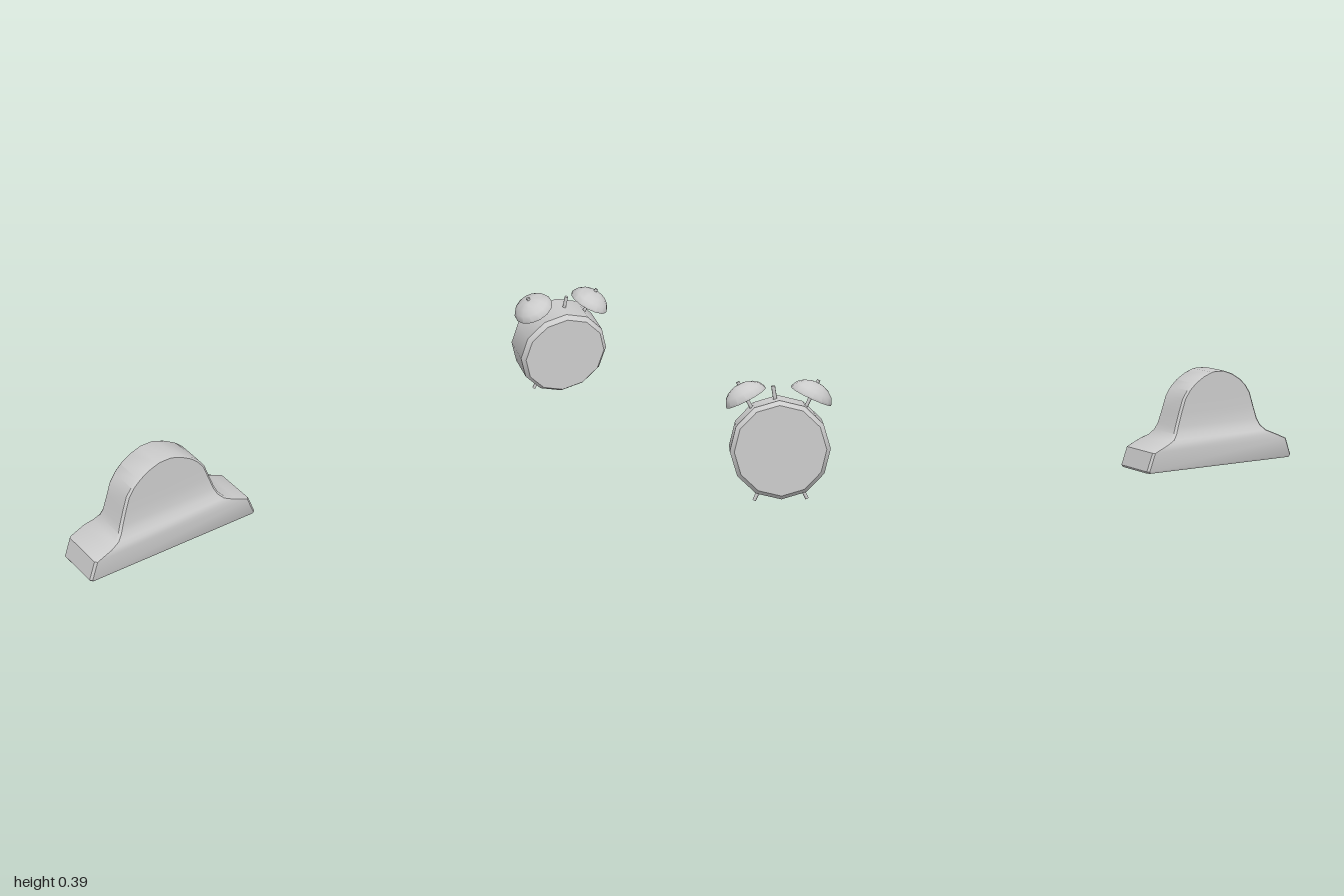
import * as THREE from 'three';
import { toCreasedNormals } from 'three/addons/utils/BufferGeometryUtils.js';

const grey = new THREE.MeshStandardMaterial({ color: 0xcccccc });
const greyThin = new THREE.MeshStandardMaterial({ color: 0xcccccc, side: THREE.DoubleSide });
const CREASE = 0.62;

function addMesh(parent, name, geometry, material = grey) {
  const mesh = new THREE.Mesh(geometry, material);
  mesh.name = name;
  parent.add(mesh);
  return mesh;
}

// Round bar between two points [x, y, z]
function addRod(parent, name, from, to, radius) {
  const a = new THREE.Vector3(...from);
  const b = new THREE.Vector3(...to);
  const geometry = new THREE.CylinderGeometry(radius, radius, a.distanceTo(b), 8);
  const rod = addMesh(parent, name, geometry);
  rod.position.copy(a).lerp(b, 0.5);
  rod.quaternion.setFromUnitVectors(new THREE.Vector3(0, 1, 0), b.clone().sub(a).normalize());
  return rod;
}

function latheGeometry(points, sides) {
  const profile = points.map(([r, y]) => new THREE.Vector2(r, y));
  return toCreasedNormals(new THREE.LatheGeometry(profile, sides), CREASE);
}

// Stack of rectangles with chamfered corners; levels are [y, half width, half depth]
function loftGeometry(levels, c) {
  const positions = [];
  const index = [];
  for (const [y, w, d] of levels) {
    const ring = [[w, d - c], [w, c - d], [w - c, -d], [c - w, -d],
      [-w, c - d], [-w, d - c], [c - w, d], [w - c, d]];
    for (const [x, z] of ring) positions.push(x, y, z);
  }
  const top = (levels.length - 1) * 8;
  for (let i = 0; i < top; i += 8) {
    for (let j = 0; j < 8; j++) {
      const a = i + j;
      const b = i + (j + 1) % 8;
      index.push(a, b, b + 8, a, b + 8, a + 8);
    }
  }
  for (let j = 1; j < 7; j++) {
    index.push(0, j + 1, j);
    index.push(top, top + j, top + j + 1);
  }
  const geometry = new THREE.BufferGeometry();
  geometry.setAttribute('position', new THREE.Float32BufferAttribute(positions, 3));
  geometry.setIndex(index);
  return toCreasedNormals(geometry, CREASE);
}

// Mantel clock: long plinth, cove all round, arched body
function createMantelClock() {
  const clock = new THREE.Group();
  clock.name = 'mantelClock';
  addMesh(clock, 'mantelClockCase', loftGeometry([
    [0.003, 0.296, 0.077],
    [0.010, 0.300, 0.081],
    [0.070, 0.278, 0.081],
    [0.092, 0.228, 0.081],
    [0.105, 0.197, 0.073],
    [0.123, 0.180, 0.063],
    [0.145, 0.170, 0.057],
    [0.190, 0.155, 0.055],
    [0.235, 0.140, 0.055],
    [0.263, 0.121, 0.055],
    [0.285, 0.097, 0.055],
    [0.305, 0.064, 0.055],
    [0.318, 0.028, 0.055],
  ], 0.007));
  clock.position.set(-0.7, 0, 0.014);
  clock.rotation.y = 0.08;
  return clock;
}

// Hollow bell, rim at the origin, with its post running through the crown
function createBell(side) {
  const bell = new THREE.Group();
  bell.name = side > 0 ? 'leftBell' : 'rightBell';
  addMesh(bell, 'bellDome', latheGeometry([
    [0, 0.038], [0.03, 0.031], [0.051, 0.016], [0.060, 0],
    [0.067, 0], [0.067, 0.006], [0.058, 0.023], [0.042, 0.036], [0.022, 0.044], [0, 0.047],
  ], 14), greyThin);
  addRod(bell, 'bellPost', [0, -0.09, 0], [0, 0.055, 0], 0.0055);
  bell.position.set(side * 0.097, 0.337, 0);
  bell.rotation.z = -side * 0.46;
  return bell;
}

// Twin bell alarm clock: drum body, two bells, hammer and two legs
function createAlarmClock() {
  const clock = new THREE.Group();
  clock.name = 'alarmClock';
  const body = addMesh(clock, 'drumBody', latheGeometry([
    [0, -0.068], [0.138, -0.068], [0.151, -0.053],
    [0.151, 0.053], [0.138, 0.068], [0, 0.068],
  ], 12));
  body.rotation.x = Math.PI / 2;
  body.position.y = 0.184;
  for (const side of [-1, 1]) {
    clock.add(createBell(side));
    addRod(clock, side > 0 ? 'leftLeg' : 'rightLeg',
      [side * 0.055, 0.075, 0], [side * 0.08, 0.022, 0], 0.0055);
  }
  addRod(clock, 'hammer', [0.008, 0.31, 0], [0.016, 0.372, 0], 0.006);
  clock.position.set(0.838, 0, -0.006);
  clock.rotation.y = -0.31;
  return clock;
}

export function createModel() {
  const model = new THREE.Group();
  model.name = 'clocks';
  model.add(createMantelClock(), createAlarmClock());
  return model;
}
